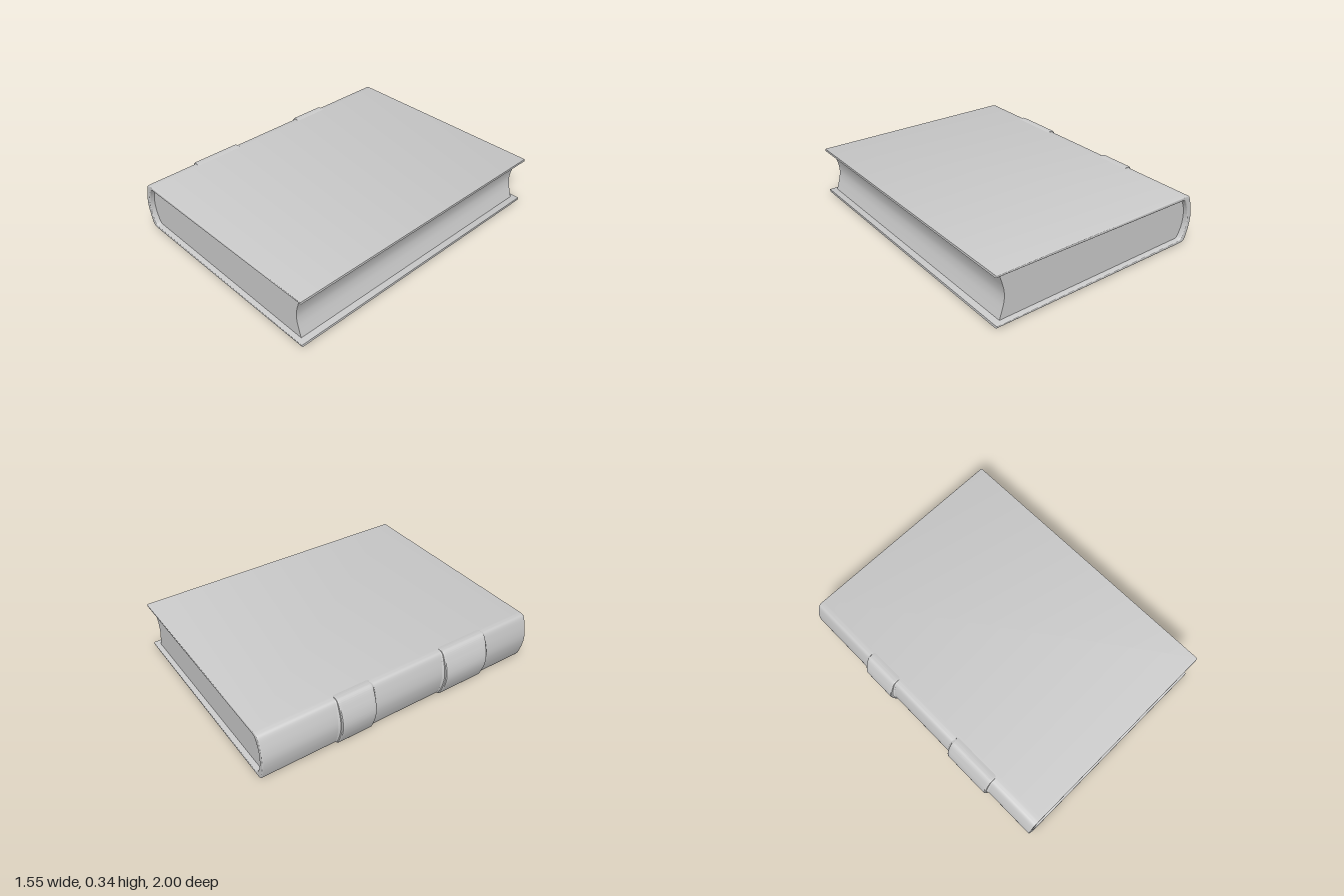
import * as THREE from 'three';
import { toCreasedNormals } from 'three/addons/utils/BufferGeometryUtils.js';
import { ParametricGeometry } from 'three/addons/geometries/ParametricGeometry.js';

const MID = 0.17; // height of the middle of the spine

// Smooth curve from top to bottom, mirrored about the mid height: [x, height above middle]
function mirroredCurve(half) {
  const top = half.map(([x, h]) => new THREE.Vector2(x, MID + h));
  const bottom = half.slice(0, -1).reverse().map(([x, h]) => new THREE.Vector2(x, MID - h));
  return new THREE.SplineCurve([...top, ...bottom]);
}

const outerSpine = mirroredCurve([[-0.66, 0.167], [-0.70, 0.165], [-0.722, 0.15], [-0.741, 0.095], [-0.752, 0.045], [-0.756, 0]]);
const innerSpine = mirroredCurve([[-0.64, 0.141], [-0.673, 0.139], [-0.69, 0.12], [-0.708, 0.08], [-0.718, 0.04], [-0.721, 0]]);
const foreEdge = mirroredCurve([[0.735, 0.156], [0.714, 0.09], [0.702, 0.045], [0.697, 0]]);

// Extrude a front outline to a total length along z, centred, with rounded ends
function extrude(points, length, bevel) {
  const geometry = new THREE.ExtrudeGeometry(new THREE.Shape(points), {
    depth: length - 2 * bevel,
    bevelEnabled: bevel > 0,
    bevelThickness: bevel,
    bevelSize: bevel,
    bevelOffset: -bevel,
    bevelSegments: 3,
  });
  geometry.translate(0, 0, -length / 2 + bevel);
  return toCreasedNormals(geometry, 0.6);
}

// Raised spine band: the spine curve pushed outwards, with soft edges along z
function bandGeometry(z0, z1) {
  const section = [
    [z0 - 0.02, -0.003], [z0 - 0.008, 0.002], [z0, 0.009], [z0 + 0.002, 0.018], [z0 + 0.008, 0.023], [z0 + 0.02, 0.024],
    [z1 - 0.02, 0.024], [z1 - 0.008, 0.023], [z1 - 0.002, 0.018], [z1, 0.009], [z1 + 0.008, 0.002], [z1 + 0.02, -0.003],
  ];
  const last = section.length - 1;
  return new ParametricGeometry((u, v, target) => {
    const [z, height] = section[Math.round(v * last)];
    const point = outerSpine.getPoint(u);
    const tangent = outerSpine.getTangent(u);
    const fade = Math.sin(Math.PI * u);
    const push = height * fade - 0.003 * (1 - fade);
    target.set(point.x + tangent.y * push, point.y - tangent.x * push, z);
  }, 48, last);
}

export function createModel() {
  const book = new THREE.Group();
  book.name = 'book';
  const material = new THREE.MeshStandardMaterial({ color: 0xcccccc });
  const add = (name, geometry) => {
    const mesh = new THREE.Mesh(geometry, material);
    mesh.name = name;
    book.add(mesh);
  };

  // Cover: both boards and the curved spine in one wrap
  const P = (x, y) => new THREE.Vector2(x, y);
  add('cover', extrude([
    P(0.775, 0.343), ...outerSpine.getPoints(40), P(0.775, 0.009),
    P(0.775, 0.026), ...innerSpine.getPoints(40).reverse(), P(0.775, 0.327),
  ], 2, 0.007));

  // Page block: rounded at the spine, hollow at the fore edge
  add('pages', extrude([
    ...innerSpine.getPoints(40), ...foreEdge.getPoints(24).reverse(),
  ], 1.935, 0));

  // Raised bands across the spine
  [[-0.49, -0.24], [0.29, 0.635]].forEach(([z0, z1], i) => add(`spineBand${i + 1}`, bandGeometry(z0, z1)));

  return book;
}
